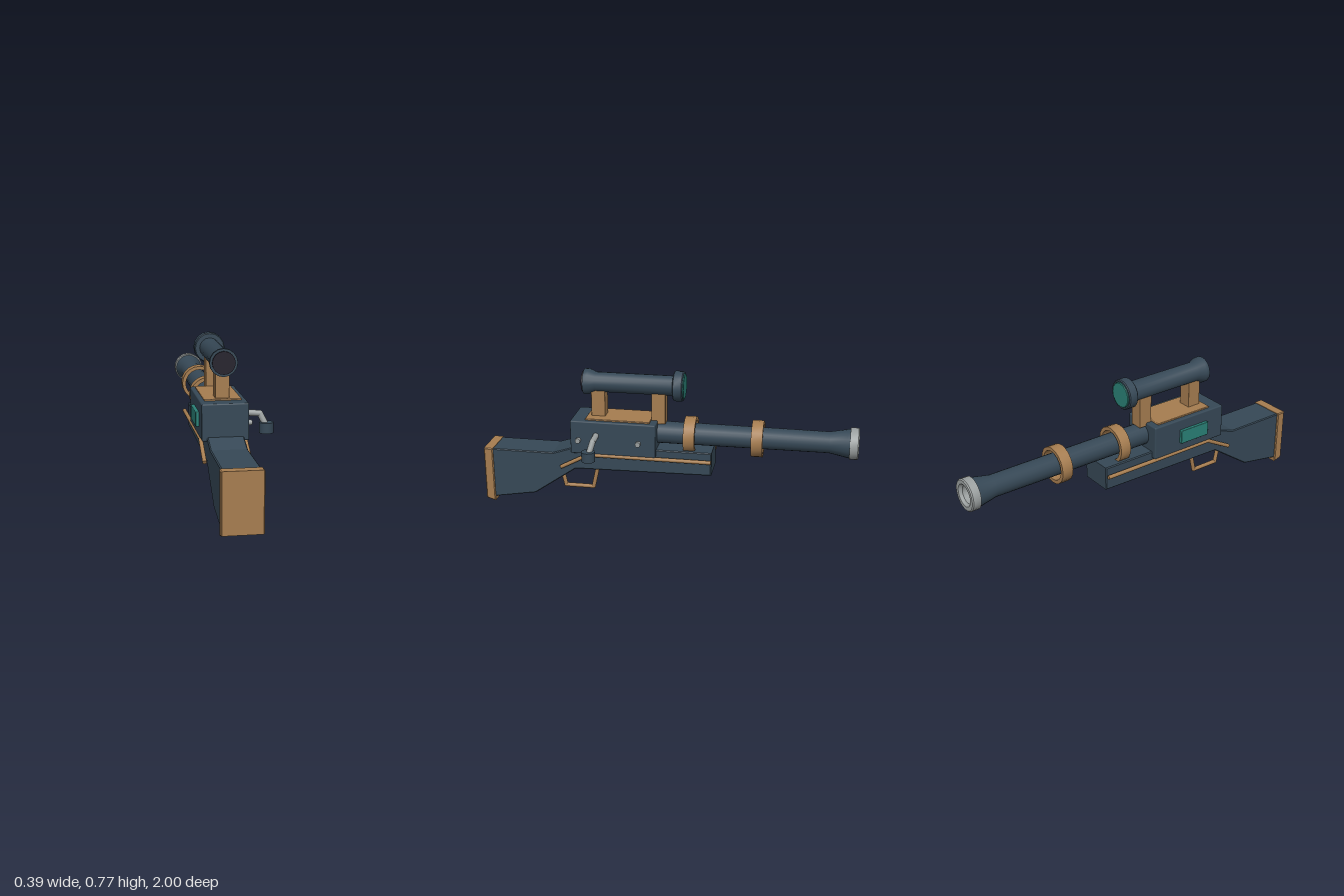
import * as THREE from 'three';
import { toCreasedNormals } from 'three/addons/utils/BufferGeometryUtils.js';
import { RoundedBoxGeometry } from 'three/addons/geometries/RoundedBoxGeometry.js';

const CX = -0.065; // x of the rifle's long axis

export function createModel() {
  const model = new THREE.Group();
  model.name = 'rifle';

  const mat = (name, color) => {
    const m = new THREE.MeshStandardMaterial({ color });
    m.name = name;
    return m;
  };
  const slate = mat('slate', 0x364856);
  const bronze = mat('bronze', 0xa67d50);
  const steel = mat('steel', 0x9a9f9f);
  const teal = mat('teal', 0x2a8076);
  const dark = mat('dark glass', 0x24212c);

  const add = (name, geometry, material, x = 0, y = 0, z = 0) => {
    const mesh = new THREE.Mesh(geometry, material);
    mesh.name = name;
    mesh.position.set(x, y, z);
    model.add(mesh);
    return mesh;
  };

  // Box given by its limits on each axis
  const box = (name, material, [x0, x1], [y0, y1], [z0, z1], r = 0.004) =>
    add(name, new RoundedBoxGeometry(x1 - x0, y1 - y0, z1 - z0, 2, r), material,
      (x0 + x1) / 2, (y0 + y1) / 2, (z0 + z1) / 2);

  // Side outline [z, y] extruded across x, centred on the long axis
  const slab = (name, material, outline, width, bevel = 0.005) => {
    const shape = new THREE.Shape(outline.map(([z, y]) => new THREE.Vector2(z, y)));
    const g = new THREE.ExtrudeGeometry(shape, {
      depth: width - 2 * bevel, bevelThickness: bevel, bevelSize: bevel,
      bevelOffset: -bevel, bevelSegments: 1,
    });
    g.translate(0, 0, bevel - width / 2).rotateY(-Math.PI / 2);
    return add(name, g, material, CX);
  };

  // Profile [radius, z] turned about the z direction
  const turned = (name, material, y, profile, sides = 16) => {
    const g = new THREE.LatheGeometry(profile.map(([r, z]) => new THREE.Vector2(r, z)), sides);
    g.rotateX(Math.PI / 2);
    return add(name, toCreasedNormals(g, 0.6), material, CX, y);
  };

  // Round bar through points, with ball joints at the bends
  const bar = (name, material, points, r) => {
    const group = new THREE.Group();
    group.name = name;
    const p = points.map((q) => new THREE.Vector3(...q));
    for (let i = 0; i + 1 < p.length; i++) {
      const dir = p[i + 1].clone().sub(p[i]);
      const rod = new THREE.Mesh(new THREE.CylinderGeometry(r, r, dir.length(), 12), material);
      rod.position.copy(p[i]).add(p[i + 1]).multiplyScalar(0.5);
      rod.quaternion.setFromUnitVectors(new THREE.Vector3(0, 1, 0), dir.normalize());
      rod.name = name + 'Segment';
      group.add(rod);
      if (i > 0) {
        const joint = new THREE.Mesh(new THREE.SphereGeometry(r, 12, 8), material);
        joint.position.copy(p[i]);
        joint.name = name + 'Joint';
        group.add(joint);
      }
    }
    model.add(group);
  };

  // Stock and fore-end in one piece, with butt pad
  slab('stock', slate, [
    [0.96, 0.022], [0.96, 0.306], [0.615, 0.306], [0.5, 0.344], [0.05, 0.36],
    [-0.245, 0.36], [-0.245, 0.233], [0.49, 0.222], [0.72, 0.063],
  ], 0.18);
  slab('buttPad', bronze, [[1, 0.015], [1, 0.309], [0.95, 0.309], [0.95, 0]], 0.197);

  // Receiver, top plate and side window
  box('receiver', slate, [-0.18, 0.05], [0.322, 0.505], [0.05, 0.507], 0.007);
  box('topPlate', bronze, [-0.157, 0.026], [0.49, 0.513], [0.085, 0.43]);
  box('sideWindow', teal, [-0.196, -0.17], [0.37, 0.446], [0.213, 0.395]);

  // Hollow barrel with flared end
  turned('barrel', slate, 0.431, [
    [0, -0.75], [0.045, -0.75], [0.045, -0.956], [0.077, -0.956], [0.074, -0.94],
    [0.056, -0.85], [0.059, 0.06],
  ], 20);
  turned('muzzleRing', steel, 0.432, [
    [0.046, -0.953], [0.046, -0.985], [0.058, -1], [0.078, -1],
    [0.083, -0.994], [0.083, -0.953], [0.046, -0.953],
  ], 20);

  // Loose barrel bands
  for (const z of [-0.123, -0.478]) {
    turned('barrelBand', bronze, 0.427, [
      [0.078, z - 0.03], [0.097, z - 0.03], [0.097, z + 0.03], [0.078, z + 0.03], [0.078, z - 0.03],
    ], 20);
  }

  // Scope on two posts
  for (const z of [0.37, 0.046]) {
    box('scopePost', bronze, [-0.101, -0.031], [0.487, 0.66], [z - 0.037, z + 0.037], 0.002);
  }
  const scopeY = 0.692;
  turned('scopeTube', slate, scopeY, [
    [0.053, -0.04], [0.053, 0.385], [0.069, 0.425], [0.069, 0.447], [0, 0.447],
  ]);
  turned('scopeFrontRing', slate, scopeY, [
    [0, -0.074], [0.068, -0.074], [0.068, -0.085], [0.075, -0.085],
    [0.08, -0.08], [0.08, -0.037], [0.075, -0.032], [0, -0.032],
  ]);
  turned('frontLens', teal, scopeY, [[0, -0.09], [0.064, -0.09], [0.067, -0.086], [0.067, -0.07]]);
  turned('eyeLens', dark, scopeY, [[0.057, 0.44], [0.057, 0.456], [0, 0.456]]);

  // Side rails, mirrored about the long axis
  for (const s of [-1, 1]) {
    const x = CX + s * 0.11;
    bar('sideRail', bronze, [[x, 0.236, 0.565], [x, 0.316, 0.415], [x, 0.316, -0.245]], 0.0105);
  }

  // Trigger guard
  bar('triggerGuard', bronze, [
    [CX, 0.19, 0.592], [CX, 0.086, 0.57], [CX, 0.086, 0.415], [CX, 0.25, 0.378],
  ], 0.011);

  // Bolt handle and knob
  bar('boltHandle', steel, [[0.03, 0.431, 0.367], [0.128, 0.422, 0.367], [0.158, 0.36, 0.383]], 0.016);
  add('boltKnob', new THREE.CylinderGeometry(0.036, 0.036, 0.053, 16), slate, 0.157, 0.354, 0.384);

  // Screws on the right-hand side of the receiver
  for (const z of [0.463, 0.14]) {
    const g = new THREE.CylinderGeometry(0.014, 0.014, 0.03, 12).rotateZ(Math.PI / 2);
    add('screw', g, steel, 0.055, 0.4, z);
  }

  return model;
}
